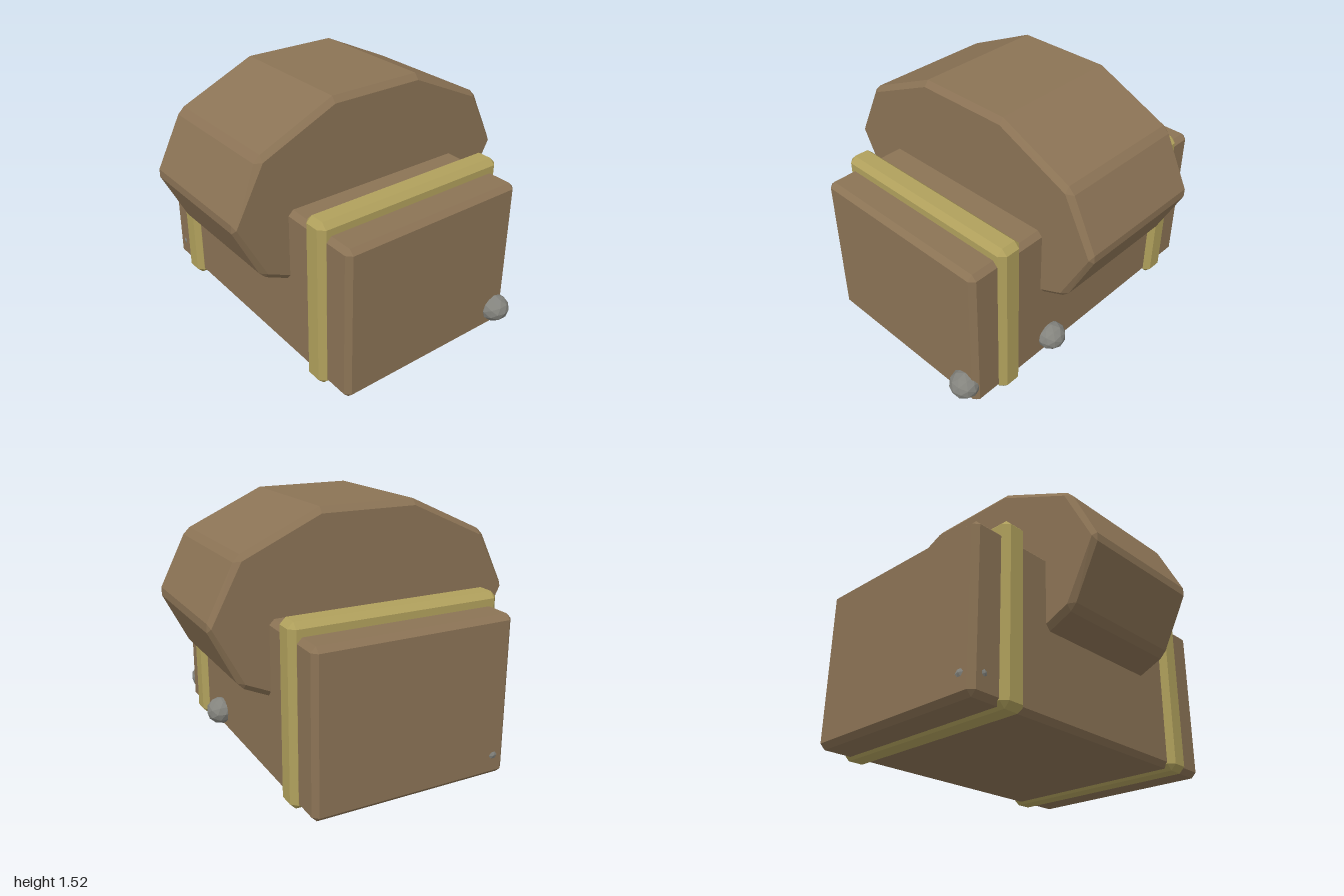
import * as THREE from 'three';
import { ConvexGeometry } from 'three/addons/geometries/ConvexGeometry.js';

// Box between two corners with every edge chamfered by b
function chamferBox(min, max, b) {
  const points = [];
  for (const sx of [0, 1]) for (const sy of [0, 1]) for (const sz of [0, 1]) {
    const side = [sx, sy, sz];
    for (let full = 0; full < 3; full++) {
      const p = side.map((s, i) => {
        const inset = i === full ? 0 : b;
        return s ? max[i] - inset : min[i] + inset;
      });
      points.push(new THREE.Vector3(...p));
    }
  }
  return new ConvexGeometry(points);
}

export function createModel() {
  const group = new THREE.Group();
  const brown = new THREE.MeshStandardMaterial({ name: 'brown hide', color: 0x8b7355, flatShading: true });
  const gold = new THREE.MeshStandardMaterial({ name: 'dull gold', color: 0xb0a05c, flatShading: true });
  const grey = new THREE.MeshStandardMaterial({ name: 'stone grey', color: 0x84847e, flatShading: true });

  function add(name, geometry, material) {
    const mesh = new THREE.Mesh(geometry, material);
    mesh.name = name;
    group.add(mesh);
    return mesh;
  }

  // Main block
  add('body', chamferBox([-0.99, 0.015, -0.602], [0.9, 0.957, 0.602], 0.03), brown);

  // Straps around the block
  add('rightStrap', chamferBox([-0.812, 0, -0.638], [-0.655, 1.033, 0.638], 0.034), gold);
  add('leftStrap', chamferBox([0.565, 0, -0.638], [0.722, 1.033, 0.638], 0.034), gold);

  // Ten-sided roll lying across the block: outer rim and inset end caps
  const rim = [[0.29, 0.575], [0.745, 0.367], [0.783, 0.328], [0.935, 0.025]];
  const cap = [[0.29, 0.54], [0.745, 0.333], [0.92, 0]];
  const rollPoints = [];
  const ring = (profile, x) => {
    for (const [z, y] of profile) for (const sz of [-1, 1]) for (const sy of [-1, 1]) {
      rollPoints.push(new THREE.Vector3(x, 0.95 + sy * y, sz * z));
    }
  };
  ring(cap, -0.475);
  ring(rim, -0.447);
  ring(rim, 0.357);
  ring(cap, 0.385);
  add('roll', new ConvexGeometry(rollPoints), brown);

  // Small stones half sunk into the block
  const stones = [[0.905, 0.14, -0.52], [0.3, 0.14, -0.62], [-0.908, 0.14, 0.518]];
  for (const [x, y, z] of stones) {
    const stone = add('stone', new THREE.IcosahedronGeometry(0.09, 1), grey);
    stone.position.set(x, y, z);
    stone.scale.y = 0.93;
  }
  return group;
}
